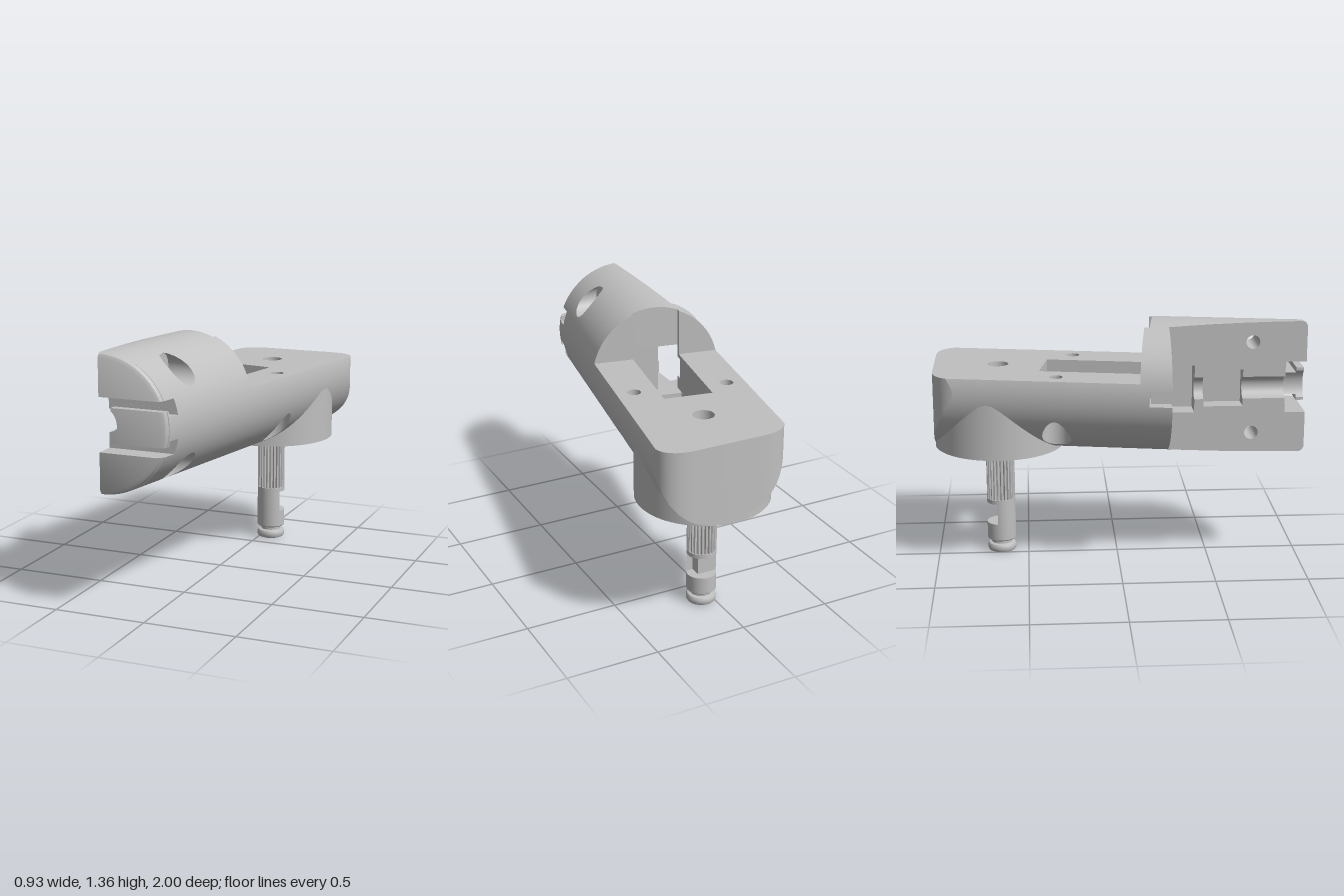
import * as THREE from 'three';
import { toCreasedNormals } from 'three/addons/utils/BufferGeometryUtils.js';

// ---- small solid modeller: a solid is a list of convex polygons ----
const EPS = 1e-5;

function solid(geo) {
  const g = toCreasedNormals(geo, 0.6);
  const P = g.attributes.position, N = g.attributes.normal, polys = [];
  for (let i = 0; i < P.count; i += 3) {
    const v = [0, 1, 2].map((k) => ({
      p: new THREE.Vector3().fromBufferAttribute(P, i + k),
      n: new THREE.Vector3().fromBufferAttribute(N, i + k),
    }));
    const n = v[1].p.clone().sub(v[0].p).cross(v[2].p.clone().sub(v[0].p));
    if (n.length() < 1e-10) continue;
    n.normalize();
    polys.push({ v, n, w: n.dot(v[0].p) });
  }
  return polys;
}

// Cut one polygon by a plane into its front and back pieces
function split(pl, poly) {
  const d = poly.v.map((a) => pl.n.dot(a.p) - pl.w);
  const anyF = d.some((x) => x > EPS), anyB = d.some((x) => x < -EPS);
  if (!anyF && !anyB) return pl.n.dot(poly.n) > 0 ? [poly, null, true] : [null, poly, true];
  if (!anyB) return [poly, null];
  if (!anyF) return [null, poly];
  const f = [], b = [];
  poly.v.forEach((a, i) => {
    const j = (i + 1) % d.length, c = poly.v[j];
    if (d[i] >= -EPS) f.push(a);
    if (d[i] <= EPS) b.push(a);
    if ((d[i] > EPS && d[j] < -EPS) || (d[i] < -EPS && d[j] > EPS)) {
      const t = d[i] / (d[i] - d[j]);
      const m = { p: a.p.clone().lerp(c.p, t), n: a.n.clone().lerp(c.n, t).normalize() };
      f.push(m);
      b.push(m);
    }
  });
  return [{ ...poly, v: f }, { ...poly, v: b }];
}

function tree(polys) {
  if (!polys.length) return null;
  const pl = polys[polys.length >> 1], f = [], b = [];
  for (const p of polys) {
    if (p === pl) continue;
    const [x, y, flat] = split(pl, p);
    if (flat) continue;
    if (x) f.push(x);
    if (y) b.push(y);
  }
  return { n: pl.n, w: pl.w, front: tree(f), back: tree(b) };
}

// Keep the part of a polygon outside the tree's solid
function clip(node, p) {
  const [f, b] = split(node, p);
  const F = f ? (node.front ? clip(node.front, f) : [f]) : [];
  const B = b ? (node.back ? clip(node.back, b) : []) : [];
  if (f && b && F.length === 1 && F[0] === f && B.length === 1 && B[0] === b) return [p];
  return F.concat(B);
}

const flip = (s) => s.map((q) => ({
  v: q.v.map((a) => ({ p: a.p, n: a.n.clone().negate() })).reverse(),
  n: q.n.clone().negate(), w: -q.w,
}));
function union(a, b) {
  const A = tree(a), B = tree(b);
  return [...a.flatMap((p) => clip(B, p)), ...b.flatMap((p) => clip(A, p))];
}
const cut = (a, b) => flip(union(flip(a), b));
const intersect = (a, b) => flip(union(flip(a), flip(b)));

function toGeometry(s) {
  const pos = [], nor = [];
  for (const { v } of s) {
    for (let i = 2; i < v.length; i++) {
      for (const a of [v[0], v[i - 1], v[i]]) {
        pos.push(a.p.x, a.p.y, a.p.z);
        nor.push(a.n.x, a.n.y, a.n.z);
      }
    }
  }
  const g = new THREE.BufferGeometry();
  g.setAttribute('position', new THREE.Float32BufferAttribute(pos, 3));
  g.setAttribute('normal', new THREE.Float32BufferAttribute(nor, 3));
  return g;
}

// ---- shape helpers ----
const CX = 0.06, CZ = -0.65, TILT = -Math.PI / 18;
const tilted = (g) => g.rotateY(TILT).translate(CX, 0, CZ); // frame of the slanted barrel
const box = (x0, x1, y0, y1, z0, z1) =>
  new THREE.BoxGeometry(x1 - x0, y1 - y0, z1 - z0).translate((x0 + x1) / 2, (y0 + y1) / 2, (z0 + z1) / 2);
const rodY = (r, x, z, y0, y1, n = 32) =>
  new THREE.CylinderGeometry(r, r, y1 - y0, n).translate(x, (y0 + y1) / 2, z);
const rodX = (r, y, z, x0, x1, n = 32) =>
  new THREE.CylinderGeometry(r, r, x1 - x0, n).rotateZ(Math.PI / 2).translate((x0 + x1) / 2, y, z);
const rodZ = (r, x, y, z0, z1, n = 32) =>
  new THREE.CylinderGeometry(r, r, z1 - z0, n).rotateX(Math.PI / 2).translate(x, y, (z0 + z1) / 2);
const lathe = (pts, n) => new THREE.LatheGeometry(pts.map(([x, y]) => new THREE.Vector2(x, y)), n);
const extrudeUp = (shape, y0, y1) =>
  new THREE.ExtrudeGeometry(shape, { depth: y1 - y0, bevelEnabled: false, curveSegments: 12 })
    .rotateX(-Math.PI / 2).translate(0, y0, 0);

function housing() {
  // Plan outline (x, -z): rounded back corners, front left quarter removed
  const o = new THREE.Shape();
  o.moveTo(-0.23, -1.2);
  o.lineTo(0.103, -1.2);
  o.lineTo(0.459, 0.83);
  o.quadraticCurveTo(0.489, 1, 0.28, 1);
  o.lineTo(-0.09, 1);
  o.quadraticCurveTo(-0.247, 1, -0.273, 0.85);
  o.lineTo(-0.469, -0.26);
  o.lineTo(-0.23, -0.26);
  o.closePath();
  // Softened front rim
  const rim = lathe([[0, -1.3], [1.5, -1.3], [1.5, 0.8], [0.362, 0.972], [0.353, 0.99], [0.335, 1], [0, 1]], 72)
    .rotateX(Math.PI / 2).scale(1.015, 1, 1).translate(-0.231, 1, 0);

  let s = union(solid(tilted(rodZ(0.36, 0, 1, -1, 2.4, 80))), solid(rodY(0.355, CX, CZ, 0.635, 0.997, 72)));
  s = intersect(s, solid(extrudeUp(o, 0.3, 1.7)));
  s = intersect(s, solid(rim));

  const cutters = [
    tilted(box(-1, 1, 1.08, 2, -1, 0.817)), // flat deck
    rodY(0.31, CX, CZ, 0.5, 0.87, 48), // collar bore and lip
    rodY(0.33, CX, CZ, 0.45, 0.66, 48),
    rodY(0.057, CX, CZ, 1.0, 1.3), // deck hole
    tilted(box(-0.135, 0.13, 0.872, 1.6, 0.25, 0.845)), // deck pocket
    tilted(box(-0.134, 0.129, 0.8, 1.0, 0.251, 0.756)),
    rodY(0.125, -0.03, -0.23, 0.77, 0.9), // keyhole recess in the pocket floor
    rodY(0.065, -0.055, -0.12, 0.765, 0.89),
    box(-0.383, -0.11, 0.868, 1.128, 0.15, 0.4), // channel in the left shoulder
    box(-0.7, -0.37, 0.96, 1.04, 0.14, 0.5),
    rodZ(0.06, -0.231, 1, 0.11, 1.1), // lengthwise bore and chamber
    box(-0.4, -0.13, 0.9, 1.1, 0.45, 0.66),
    rodZ(0.1, -0.231, 1, 0.888, 1.3), // room beside the front tongue
    box(-0.5, -0.165, 0.9, 1.1, 0.887, 1.25),
  ];
  // T-shaped front tongue left between two grooves, and the side screw holes
  for (const m of [1, -1]) {
    const band = (a, b, z0, z1) => box(-0.6, 0.8, Math.min(1 + m * a, 1 + m * b), Math.max(1 + m * a, 1 + m * b), z0, z1);
    cutters.push(
      band(0.09, 0.14, 0.89, 1.3), band(0.06, 0.12, 0.891, 0.96),
      rodX(0.077, 1 + m * 0.25, 0.71, -0.02, 0.6), rodX(0.037, 1 + m * 0.25, 0.71, -0.5, 0.3, 24),
    );
  }
  // Vertical screw holes with counterbores from below
  for (const [x, z] of [[-0.25, -0.34], [0.245, -0.235]]) {
    cutters.push(rodY(0.077, x, z, 0.4, 0.86), rodY(0.037, x, z, 0.42, 1.4, 24));
  }
  for (const c of cutters) s = cut(s, solid(c));
  return toGeometry(s);
}

function splines() {
  const pts = [], teeth = 24;
  for (let i = 0; i < teeth * 4; i++) {
    const a = ((i + 0.5) / (teeth * 4)) * Math.PI * 2, r = i % 4 < 2 ? 0.079 : 0.07;
    pts.push(new THREE.Vector2(Math.cos(a) * r, Math.sin(a) * r));
  }
  return extrudeUp(new THREE.Shape(pts), 0.305, 0.98).translate(CX, 0, CZ);
}

function shaftTip() {
  const profile = [[0, 0], [0.062, 0], [0.074, 0.005], [0.08, 0.016], [0.08, 0.034], [0.074, 0.045], [0.062, 0.05],
    [0.057, 0.05], [0.057, 0.07], [0.074, 0.07], [0.08, 0.076], [0.08, 0.312], [0, 0.312]];
  let s = solid(lathe(profile, 40).translate(CX, 0, CZ));
  s = cut(s, solid(box(-1, 1, 0.17, 0.288, -1, -0.67))); // locking notch
  s = cut(s, solid(box(0.09, 1, 0.1701, 0.2879, -0.9, -0.61)));
  return toGeometry(s);
}

export function createModel() {
  const model = new THREE.Group();
  const grey = new THREE.MeshStandardMaterial({ color: 0xc0c0c0 });
  grey.name = 'grey';
  const add = (name, geo) => {
    const mesh = new THREE.Mesh(geo, grey);
    mesh.name = name;
    model.add(mesh);
  };
  add('housing', housing());
  add('splinedShaft', splines());
  add('shaftTip', shaftTip());
  return model;
}
